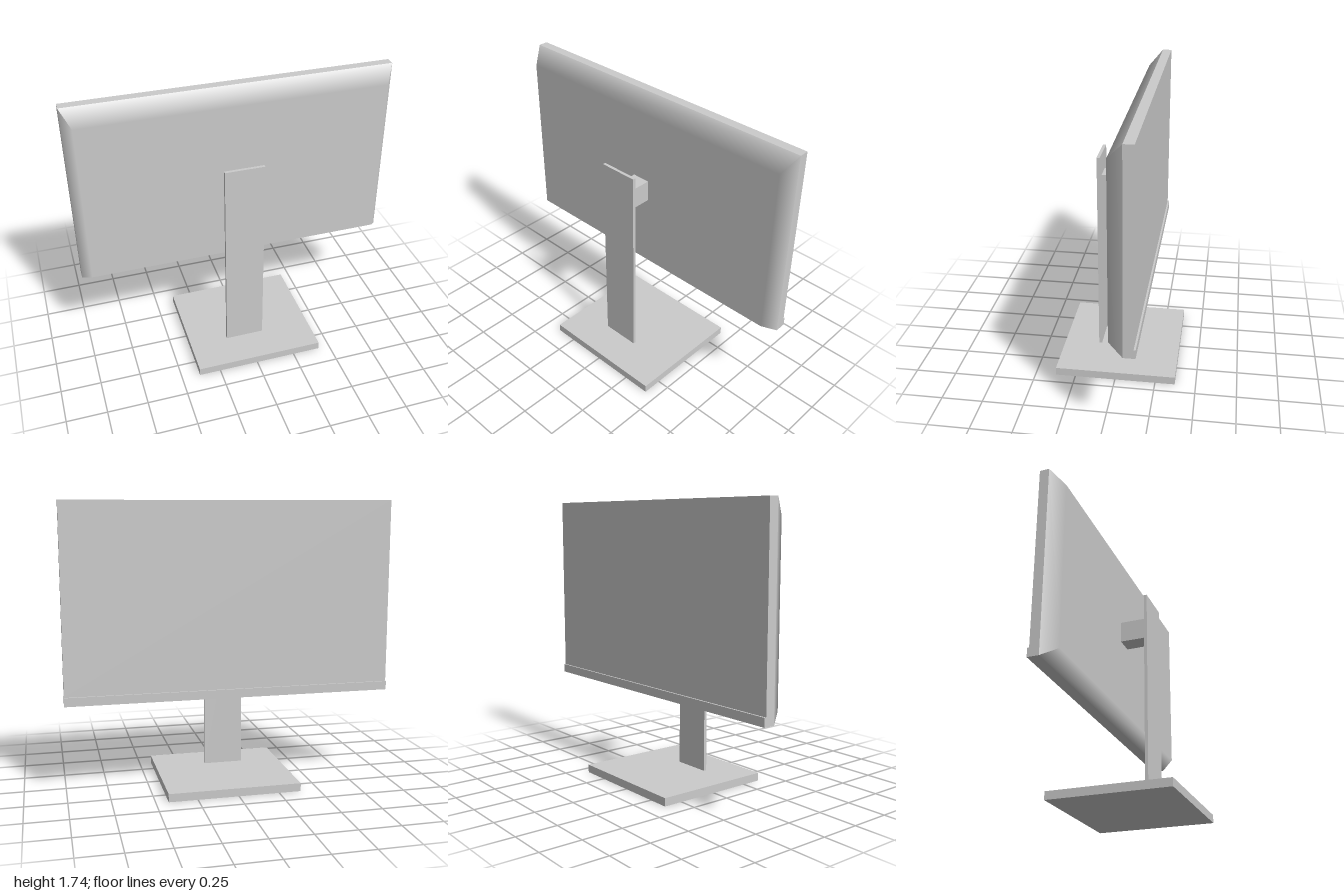
import * as THREE from 'three';

const grey = new THREE.MeshStandardMaterial({ color: 0xcccccc });

// Box given by its min and max corners
function box(name, [x0, y0, z0], [x1, y1, z1]) {
  const mesh = new THREE.Mesh(new THREE.BoxGeometry(x1 - x0, y1 - y0, z1 - z0), grey);
  mesh.position.set((x0 + x1) / 2, (y0 + y1) / 2, (z0 + z1) / 2);
  mesh.name = name;
  return mesh;
}

// Tapered shell: flat panel plus four slopes whose normals blend into the panel
function taperedShell(outer, inner) {
  const pos = [], nor = [];
  const flat = new THREE.Vector3(0, 0, 1);
  const quad = (corners, normals) => {
    for (const i of [0, 1, 2, 0, 2, 3]) {
      pos.push(...corners[i].toArray());
      nor.push(...normals[i].toArray());
    }
  };
  quad(inner, [flat, flat, flat, flat]);
  for (let i = 0; i < 4; i++) {
    const j = (i + 1) % 4;
    const n = new THREE.Vector3().crossVectors(
      outer[j].clone().sub(outer[i]), inner[i].clone().sub(outer[i])).normalize();
    quad([outer[i], outer[j], inner[j], inner[i]], [n, n, flat, flat]);
  }
  const geo = new THREE.BufferGeometry();
  geo.setAttribute('position', new THREE.Float32BufferAttribute(pos, 3));
  geo.setAttribute('normal', new THREE.Float32BufferAttribute(nor, 3));
  return geo;
}

// Counter-clockwise rectangle facing +z
const rect = (x, y0, y1, z) => [[-x, y0], [x, y0], [x, y1], [-x, y1]]
  .map(([px, py]) => new THREE.Vector3(px, py, z));

export function createModel() {
  const model = new THREE.Group();
  model.name = 'monitor';

  // Stand
  model.add(
    box('base', [-0.385, 0, -0.372], [0.425, 0.05, 0.372]),
    box('post', [-0.14, 0.05, 0.132], [0.105, 1.337, 0.151]),
    box('mountArm', [-0.075, 1.072, -0.045], [0.04, 1.206, 0.132]),
  );

  // Display: screen panel, protruding lower bezel, tapered rear housing
  const display = new THREE.Group();
  display.name = 'display';
  const housing = new THREE.Mesh(
    taperedShell(rect(1, 0.562, 1.742, -0.13), rect(0.942, 0.615, 1.645, -0.044)), grey);
  housing.name = 'rearHousing';
  display.add(
    box('screenPanel', [-1, 0.615, -0.188], [1, 1.742, -0.13]),
    box('lowerBezel', [-1, 0.562, -0.199], [1, 0.615, -0.13]),
    housing,
  );
  model.add(display);
  return model;
}
